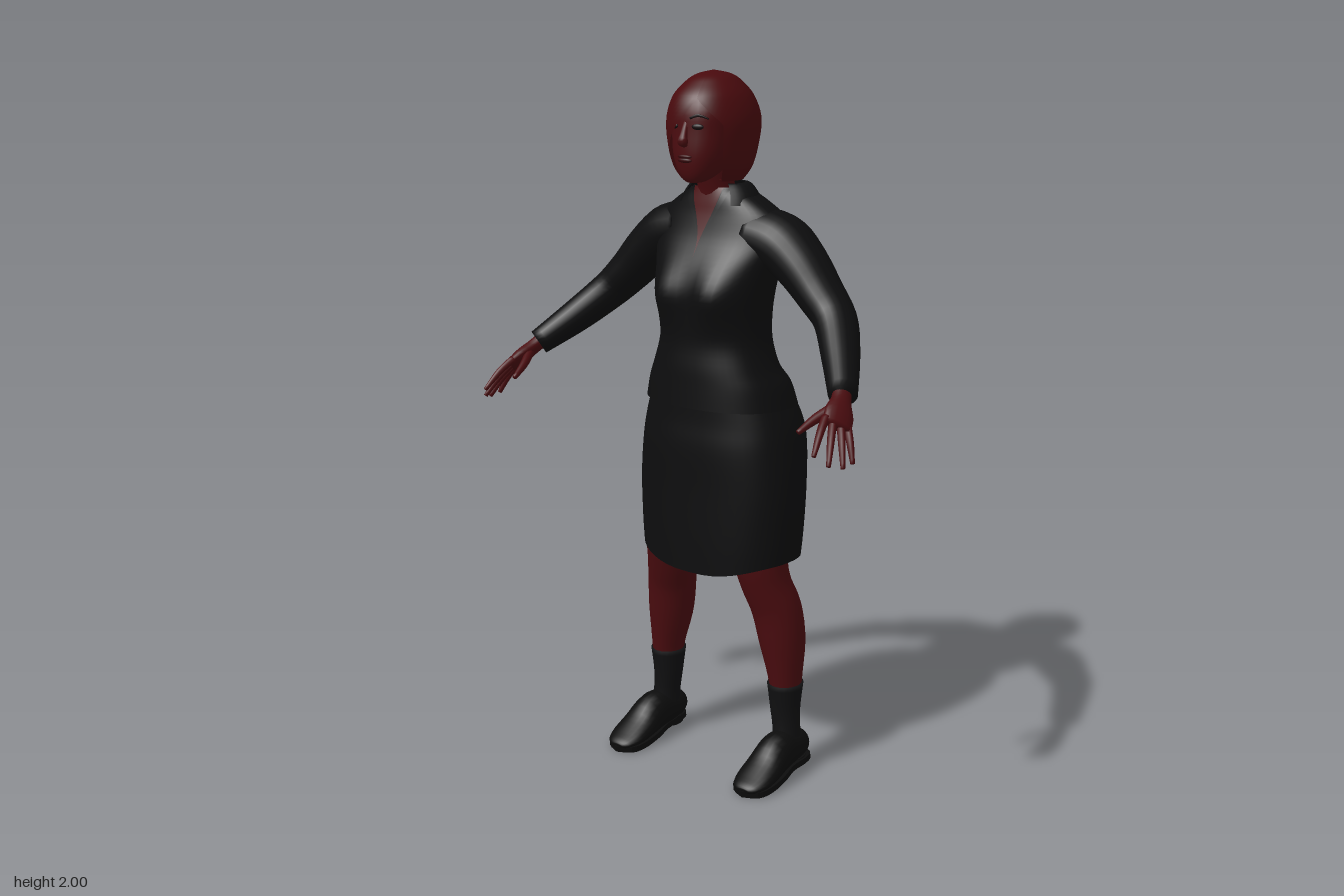
import * as THREE from 'three';

const mat = (name, color) => {
  const m = new THREE.MeshStandardMaterial({ color, side: THREE.DoubleSide });
  m.name = name;
  return m;
};

// Catmull-Rom interpolation through rows of numbers, t in 0..1
function at(rows, t) {
  const n = rows.length - 1, f = Math.min(t, 1) * n, i = Math.min(Math.floor(f), n - 1), k = f - i;
  const r = j => rows[Math.max(0, Math.min(n, j))];
  return rows[0].map((_, c) => {
    const a = r(i - 1)[c], b = r(i)[c], d = r(i + 1)[c], e = r(i + 2)[c];
    return b + 0.5 * k * (d - a + k * (2 * a - 5 * b + 4 * d - e + k * (3 * (b - d) + e - a)));
  });
}

// Grid surface; u runs around, v runs along; closed joins the u ends
function surface(f, nu, nv, closed = true) {
  const pos = [], idx = [], cols = closed ? nu : nu + 1;
  for (let j = 0; j <= nv; j++) for (let i = 0; i < cols; i++) pos.push(...f(i / nu, j / nv));
  for (let j = 0; j < nv; j++) for (let i = 0; i < nu; i++) {
    const a = j * cols + i, b = j * cols + (i + 1) % cols, c = b + cols, d = a + cols;
    idx.push(a, b, c, a, c, d);
  }
  const g = new THREE.BufferGeometry();
  g.setAttribute('position', new THREE.Float32BufferAttribute(pos, 3));
  g.setIndex(idx);
  g.computeVertexNormals();
  return g;
}

// Point on a horizontal superellipse ring; rows are [y, half width, front z, back z]
function ring(rows, th, t, n = 2.3) {
  const [y, w, zf, zb] = at(rows, t);
  const p = v => Math.sign(v) * Math.abs(v) ** (2 / n);
  return [w * p(Math.sin(th)), y, (zf + zb) / 2 + (zf - zb) / 2 * p(Math.cos(th))];
}

// Capped limb through rows [x, y, z, side radius, other radius]
function limb(rows, side = [1, 0, 0], nu = 18, nv = 18) {
  const ref = new THREE.Vector3(...side);
  return surface((u, v) => {
    const t = Math.max(0, Math.min(1, (v * nv - 1) / (nv - 2)));
    const [x, y, z, ra, rb] = at(rows, t), cap = v === 0 || v === 1 ? 0 : 1;
    const p = at(rows, Math.max(0, t - 0.01)), q = at(rows, Math.min(1, t + 0.01));
    const d = new THREE.Vector3(q[0] - p[0], q[1] - p[1], q[2] - p[2]).normalize();
    const s = ref.clone().addScaledVector(d, -ref.dot(d)).normalize();
    const n = s.clone().cross(d), th = u * Math.PI * 2;
    return new THREE.Vector3(x, y, z).addScaledVector(s, ra * cap * Math.sin(th))
      .addScaledVector(n, rb * cap * Math.cos(th)).toArray();
  }, nu, nv);
}

const JACKET = [[1.09, .228, .062, -.262], [1.15, .212, .06, -.245], [1.2, .187, .058, -.212],
  [1.27, .165, .052, -.2], [1.34, .163, .055, -.2], [1.41, .172, .057, -.205], [1.48, .19, .038, -.208],
  [1.55, .212, 0, -.21], [1.61, .195, -.02, -.2], [1.65, .145, -.028, -.18], [1.675, .1, -.033, -.165],
  [1.69, .075, -.036, -.15]];
const SKIRT = [[.65, .245, .05, -.255], [.72, .252, .05, -.258], [.85, .258, .048, -.262],
  [.97, .25, .048, -.275], [1.05, .235, .042, -.268], [1.14, .2, .04, -.235]];
const HEAD = [[1.705, 0, .03, .03], [1.71, .028, .045, -.01], [1.735, .055, .058, -.06], [1.78, .077, .065, -.1],
  [1.84, .088, .064, -.13], [1.9, .09, .06, -.14], [1.95, .06, .03, -.12], [1.98, 0, -.05, -.05]];
const HAIR = [[1.71, .082, .025, -.14], [1.745, .102, .052, -.17], [1.8, .114, .07, -.19], [1.87, .118, .077, -.202],
  [1.93, .1, .062, -.182], [1.97, .07, .022, -.145], [1.99, .042, -.015, -.11], [2, 0, -.06, -.06]];

// Jacket surface with the bust added on the front
function torso(th, t) {
  const p = ring(JACKET, th, t);
  if (Math.cos(th) > 0) p[2] += .026 * Math.exp(-(((Math.abs(p[0]) - .09) / .06) ** 2) - ((p[1] - 1.4) / .075) ** 2);
  return p;
}

export function createModel() {
  const model = new THREE.Group();
  const skin = mat('skin', 0x4a0c0f), hairM = mat('hair', 0x480a0d), cloth = mat('suit cloth', 0x0d0d0e);
  const sock = mat('sock', 0x101011), leather = mat('shoe leather', 0x0c0c0c), dark = mat('eye', 0x14090a);
  const lip = mat('lips', 0x3a080b);
  const add = (name, geo, m) => {
    const mesh = new THREE.Mesh(geo, m);
    mesh.name = name;
    model.add(mesh);
    return mesh;
  };
  const TAU = Math.PI * 2;

  // Jacket body, and the open neckline laid on its front
  add('jacket', surface((u, v) => torso(u * TAU, v), 48, 44), cloth);
  add('neckline', surface((u, v) => {
    const p = torso((u * 2 - 1) * .68 * v ** 2, .575 + v * .425);
    return [p[0], p[1], p[2] + .005];
  }, 10, 16, false), skin);

  // Lapels along both edges of the neckline
  for (const s of [1, -1]) add('lapel', surface((u, v) => {
    const p = torso(s * (.68 * v ** 2 + (u * s + (1 - s) / 2) * .3 * v ** 2), .575 + v * .4);
    return [p[0], p[1], p[2] + .009];
  }, 4, 14, false), cloth);

  // Turned-down collar around the back of the neck
  const COLLAR = [[1.645, .125, 0, -.19], [1.672, .112, -.015, -.178], [1.698, .09, -.03, -.162], [1.7, .072, -.04, -.148]];
  add('collar', surface((u, v) => ring(COLLAR, .75 + u * (TAU - 1.5), v, 2), 32, 8, false), cloth);

  // Skirt with a pointed front hem and a slit at the back
  add('skirt', surface((u, v) => {
    const slit = .07 * Math.max(0, 1 - v / .28), th = (u * 2 - 1) * (Math.PI - slit);
    const p = ring(SKIRT, th, v, 2.5);
    p[1] -= .042 * Math.max(0, Math.cos(th)) ** 3 * (1 - v) ** 4;
    return p;
  }, 48, 24, false), cloth);

  // Neck and head
  add('neck', limb([[0, 1.56, -.1, .075, .06], [0, 1.64, -.085, .06, .053], [0, 1.7, -.07, .052, .05],
    [0, 1.78, -.05, .052, .055]]), skin);
  add('head', surface((u, v) => ring(HEAD, u * TAU, v, 2.2), 32, 28), skin);
  add('nose', limb([[0, 1.868, .058, .008, .006], [0, 1.835, .068, .011, .01], [0, 1.818, .072, .016, .013],
    [0, 1.806, .064, .01, .006]], [1, 0, 0], 12, 10), skin);
  for (const [y, h] of [[1.778, .006], [1.768, .007]]) {
    add('lip', new THREE.SphereGeometry(1, 14, 8).scale(.024, h, .009).translate(0, y, .063), lip);
  }
  for (const s of [1, -1]) {
    add('eye', new THREE.SphereGeometry(1, 14, 8).scale(.017, .008, .005).rotateY(s * .3).translate(s * .04, 1.857, .058), dark);
    add('brow', limb([[s * .018, 1.879, .063, .002, .003], [s * .042, 1.887, .058, .002, .004],
      [s * .066, 1.878, .044, .002, .002]], [0, 0, 1], 8, 8), dark);
  }

  // Bobbed hair, parted to one side with a sweeping fringe
  add('hair', surface((u, v) => {
    const k = Math.max(0, Math.min(1, (1.93 - at(HAIR, v)[0]) / .2));
    const left = .35 + .6 * Math.min(1, k * 3), right = .35 - 1.1 * Math.min(1, k * 1.3);
    return ring(HAIR, left + u * (right + TAU - left), v, 2.1);
  }, 48, 44, false), hairM);
  add('hair underside', surface((u, v) => {
    const p = ring(HAIR, 1 + u * (TAU - 1.8), 0, 2.1);
    return [p[0] * v, 1.712, -.06 + (p[2] + .06) * v];
  }, 24, 1, false), hairM);

  for (const s of [1, -1]) {
    const m = rows => rows.map(([x, ...r]) => [s * x, ...r]);
    const side = s > 0 ? 'left' : 'right';

    // Sleeve with the elbow bent forward
    add(side + ' sleeve', limb(m([[.11, 1.565, -.11, .09, .075], [.19, 1.545, -.115, .092, .08],
      [.26, 1.495, -.11, .083, .072], [.33, 1.425, -.1, .073, .062], [.395, 1.362, -.08, .064, .055],
      [.465, 1.285, -.005, .053, .048], [.535, 1.21, .085, .039, .037]]), [0, 0, 1], 22, 28), cloth);

    // Palm, four fingers and thumb
    const across = [s * .53, -.48, -.7];
    add(side + ' palm', limb(m([[.525, 1.222, .072, .026, .022], [.54, 1.2, .1, .028, .02],
      [.558, 1.173, .135, .042, .02], [.574, 1.148, .165, .04, .013]]), across, 16, 12), skin);
    const tips = [[.575, 1.095, .268], [.602, 1.068, .242], [.62, 1.058, .205], [.622, 1.062, .165]];
    tips.forEach((tip, i) => {
      const o = [-.034, -.012, .011, .032][i], base = [.566 + .53 * o, 1.158 - .48 * o, .155 - .7 * o];
      const mid = base.map((b, c) => (b + tip[c]) / 2 + (c === 1 ? .007 : 0));
      add(side + ' finger', limb(m([[...base, .011, .011], [...mid, .01, .01], [...tip, .006, .006]]), across, 10, 10), skin);
    });
    add(side + ' thumb', limb(m([[.54, 1.19, .115, .015, .014], [.513, 1.163, .17, .013, .012],
      [.497, 1.135, .226, .007, .007]]), across, 10, 10), skin);

    // Bare leg, continuing up under the skirt
    add(side + ' leg', limb(m([[.222, .2, -.122, .04, .042], [.219, .29, -.122, .047, .053],
      [.207, .4, -.122, .066, .068], [.193, .5, -.11, .073, .07], [.173, .58, -.085, .073, .07],
      [.16, .66, -.075, .078, .08], [.14, .8, -.09, .095, .1], [.12, 1, -.11, .1, .11]]), [1, 0, 0], 22, 28), skin);
    add(side + ' sock', limb(m([[.23, .06, -.12, .04, .045], [.225, .14, -.122, .039, .043],
      [.22, .2, -.122, .043, .046], [.219, .275, -.122, .051, .056]]), [1, 0, 0], 20, 14), sock);

    // Shoe upper running from heel to toe
    add(side + ' shoe', limb(m([[.23, .075, -.185, .03, .026], [.23, .078, -.165, .045, .042],
      [.231, .078, -.11, .048, .055], [.233, .077, -.06, .052, .06], [.235, .052, 0, .058, .04],
      [.236, .034, .055, .056, .025], [.236, .025, .09, .04, .015], [.236, .022, .102, .02, .006]]), [1, 0, 0], 22, 24), leather);

    // Tilted sole and low heel
    const sole = new THREE.Shape(new THREE.SplineCurve([[0, .106], [.045, .085], [.06, .04], [.055, -.03], [.042, -.09],
      [.045, -.15], [.03, -.185], [-.03, -.185], [-.045, -.15], [-.042, -.09], [-.055, -.03], [-.06, .04], [-.045, .085],
      [0, .106]].map(p => new THREE.Vector2(...p))).getPoints(40));
    const soleGeo = new THREE.ExtrudeGeometry(sole, { depth: .018, bevelEnabled: false });
    soleGeo.rotateX(Math.PI / 2 + .1).translate(s * .235, .031, 0);
    add(side + ' sole', soleGeo, leather);
    add(side + ' heel', new THREE.CylinderGeometry(.042, .042, .026, 20).rotateX(.1).translate(s * .232, .034, -.14), leather);
  }
  return model;
}
